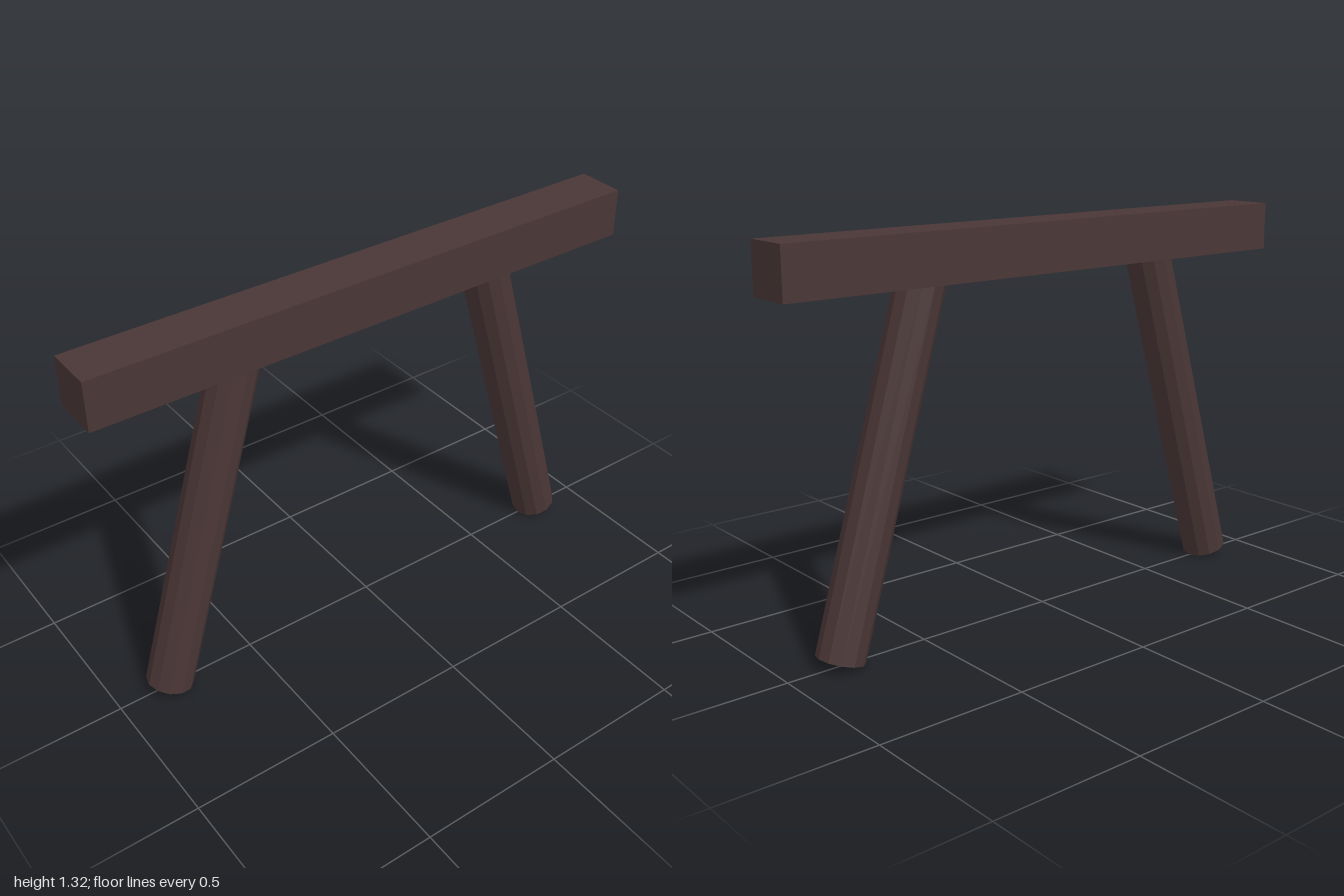
import * as THREE from 'three';

export function createModel() {
  const group = new THREE.Group();
  const wood = new THREE.MeshStandardMaterial({ color: 0x4a3636, flatShading: true });

  // Square top beam
  const beam = new THREE.Mesh(new THREE.BoxGeometry(2, 0.166, 0.166), wood);
  beam.name = 'beam';
  beam.position.y = 1.242;
  group.add(beam);

  // Splayed round legs, their upper ends set into the beam
  const up = new THREE.Vector3(0, 1, 0);
  for (const side of [1, -1]) {
    const foot = new THREE.Vector3(side * 0.814, 0.023, 0);
    const head = new THREE.Vector3(side * 0.463, 1.235, 0);
    const axis = head.clone().sub(foot);
    const leg = new THREE.Mesh(new THREE.CylinderGeometry(0.08, 0.08, axis.length(), 12), wood);
    leg.name = side > 0 ? 'leftLeg' : 'rightLeg';
    leg.position.copy(foot).add(head).multiplyScalar(0.5);
    leg.quaternion.setFromUnitVectors(up, axis.normalize());
    group.add(leg);
  }
  return group;
}
